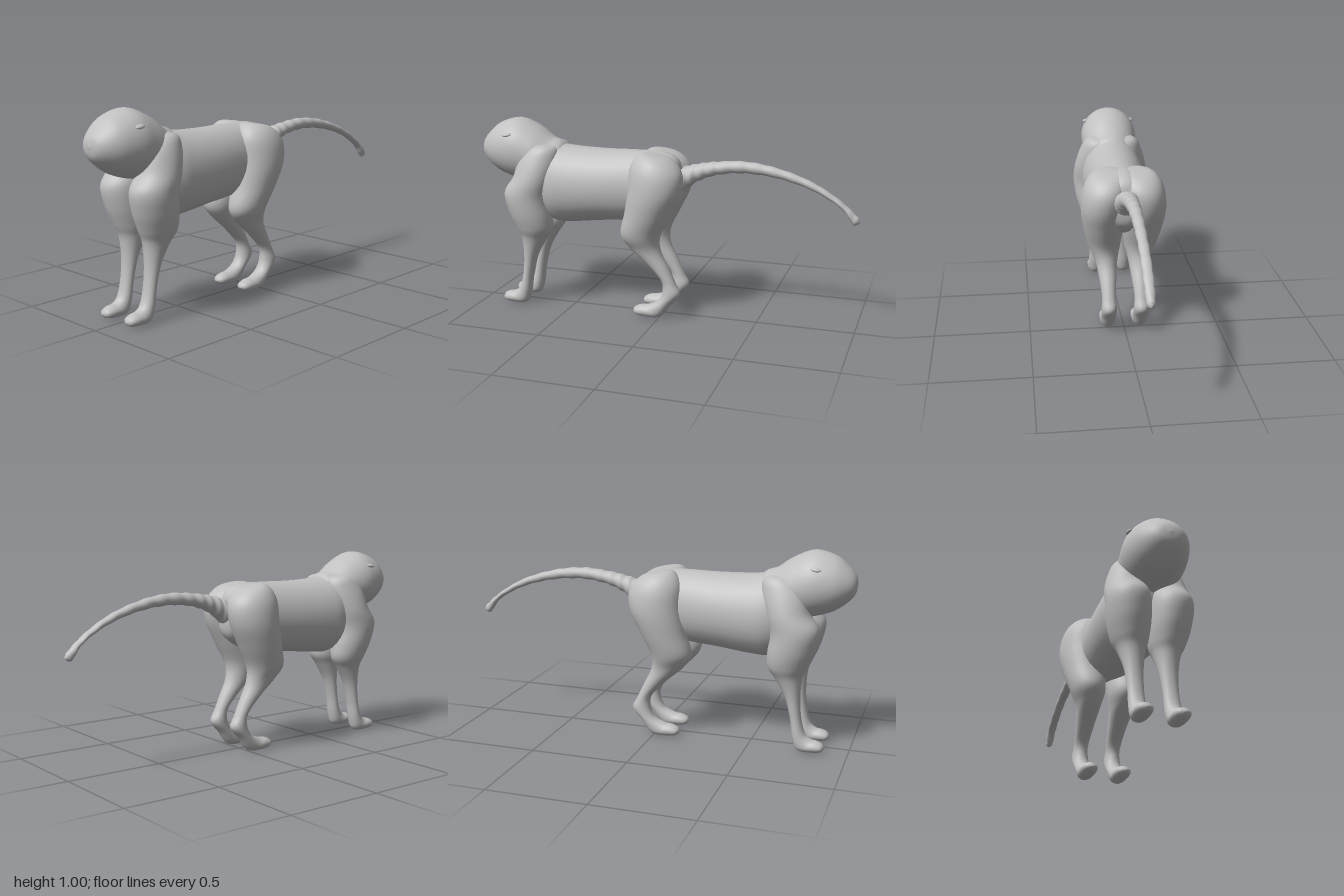
import * as THREE from 'three';
import { mergeVertices } from 'three/addons/utils/BufferGeometryUtils.js';

// Smooth skin through elliptical sections [x, halfWidth, yA, zA, yB, zB],
// where A and B are opposite edge points of the section in the side plane.
function loft(sections, { side = 1, steps = 6, around = 28, ripple = null } = {}) {
  const a = new THREE.CatmullRomCurve3(
    sections.map(s => new THREE.Vector3(s[0] * side, s[2], s[3])), false, 'catmullrom', 0.5);
  const b = new THREE.CatmullRomCurve3(
    sections.map(s => new THREE.Vector3(s[1], s[4], s[5])), false, 'catmullrom', 0.5);
  const rings = (sections.length - 1) * steps;
  const pos = [], index = [];
  for (let i = 0; i <= rings; i++) {
    const t = i / rings;
    const p = a.getPoint(t), q = b.getPoint(t);
    const k = ripple ? ripple(t) : 1;
    const cy = (p.y + q.y) / 2, cz = (p.z + q.z) / 2;
    const dy = (q.y - p.y) / 2 * k, dz = (q.z - p.z) / 2 * k;
    const rx = Math.max(q.x, 0) * k;
    for (let j = 0; j < around; j++) {
      const u = j / around * Math.PI * 2, c = Math.cos(u), s = Math.sin(u);
      pos.push(p.x + rx * c, cy + dy * s, cz + dz * s);
      if (i < rings) {
        const j2 = (j + 1) % around, r0 = i * around, r1 = r0 + around;
        index.push(r0 + j, r0 + j2, r1 + j2, r0 + j, r1 + j2, r1 + j);
      }
    }
  }
  let geo = new THREE.BufferGeometry();
  geo.setAttribute('position', new THREE.Float32BufferAttribute(pos, 3));
  geo.setIndex(index);
  geo = mergeVertices(geo, 1e-5);
  geo.computeVertexNormals();
  return geo;
}

// Torso, rear to chest
const TORSO = [
  [0, 0, 0.7, -0.1, 0.7, -0.1],
  [0, 0.09, 0.6, -0.08, 0.82, -0.08],
  [0, 0.13, 0.53, 0.02, 0.865, 0.0],
  [0, 0.145, 0.5, 0.17, 0.868, 0.15],
  [0, 0.16, 0.485, 0.33, 0.865, 0.32],
  [0, 0.17, 0.465, 0.5, 0.87, 0.48],
  [0, 0.165, 0.47, 0.6, 0.88, 0.58],
  [0, 0.12, 0.55, 0.72, 0.88, 0.66],
  [0, 0, 0.7, 0.76, 0.7, 0.76],
];

// Neck and egg-shaped head
const HEAD = [
  [0, 0, 0.74, 0.48, 0.74, 0.48],
  [0, 0.11, 0.62, 0.54, 0.875, 0.54],
  [0, 0.135, 0.63, 0.65, 0.91, 0.61],
  [0, 0.148, 0.665, 0.73, 0.965, 0.69],
  [0, 0.155, 0.682, 0.81, 1.003, 0.79],
  [0, 0.135, 0.71, 0.89, 0.98, 0.89],
  [0, 0.1, 0.752, 0.95, 0.935, 0.95],
  [0, 0.055, 0.795, 0.988, 0.89, 0.988],
  [0, 0, 0.845, 1.0, 0.845, 1.0],
];

// Shoulder, arm and front paw
const FRONT_LEG = [
  [0.06, 0, 0.885, 0.62, 0.885, 0.62],
  [0.07, 0.065, 0.865, 0.56, 0.875, 0.69],
  [0.085, 0.088, 0.8, 0.55, 0.81, 0.76],
  [0.1, 0.102, 0.7, 0.575, 0.71, 0.79],
  [0.104, 0.105, 0.6, 0.6, 0.63, 0.84],
  [0.098, 0.1, 0.5, 0.59, 0.53, 0.825],
  [0.09, 0.085, 0.43, 0.592, 0.44, 0.79],
  [0.085, 0.063, 0.37, 0.63, 0.38, 0.765],
  [0.083, 0.045, 0.28, 0.68, 0.28, 0.757],
  [0.083, 0.038, 0.17, 0.71, 0.18, 0.765],
  [0.084, 0.04, 0.07, 0.725, 0.1, 0.785],
  [0.085, 0.041, 0.01, 0.75, 0.07, 0.815],
  [0.086, 0.041, 0.003, 0.82, 0.062, 0.85],
  [0.086, 0.03, 0.01, 0.87, 0.05, 0.875],
  [0.086, 0, 0.03, 0.887, 0.03, 0.887],
];

// Hip, thigh, hock and hind paw
const HIND_LEG = [
  [0.06, 0, 0.868, 0.03, 0.868, 0.03],
  [0.075, 0.08, 0.84, -0.065, 0.865, 0.1],
  [0.092, 0.113, 0.77, -0.122, 0.8, 0.145],
  [0.105, 0.115, 0.67, -0.115, 0.68, 0.155],
  [0.102, 0.104, 0.55, -0.06, 0.56, 0.175],
  [0.095, 0.085, 0.44, -0.008, 0.45, 0.2],
  [0.087, 0.06, 0.36, -0.012, 0.38, 0.16],
  [0.085, 0.045, 0.27, -0.055, 0.3, 0.07],
  [0.085, 0.036, 0.195, -0.09, 0.215, -0.01],
  [0.085, 0.04, 0.14, -0.113, 0.15, -0.02],
  [0.085, 0.04, 0.08, -0.065, 0.095, 0.005],
  [0.085, 0.04, 0.01, -0.01, 0.07, 0.06],
  [0.085, 0.04, 0.003, 0.07, 0.064, 0.1],
  [0.085, 0.03, 0.01, 0.12, 0.05, 0.13],
  [0.085, 0, 0.03, 0.142, 0.03, 0.142],
];

// Tail, base to tip
const TAIL = [
  [0, 0, 0.73, -0.05, 0.73, -0.05],
  [0, 0.058, 0.79, -0.1, 0.67, -0.1],
  [0, 0.048, 0.815, -0.18, 0.725, -0.18],
  [0, 0.039, 0.832, -0.28, 0.765, -0.28],
  [0, 0.032, 0.842, -0.42, 0.783, -0.42],
  [0, 0.027, 0.82, -0.58, 0.768, -0.59],
  [0, 0.024, 0.765, -0.75, 0.718, -0.765],
  [0, 0.023, 0.685, -0.89, 0.64, -0.905],
  [0, 0.02, 0.605, -0.985, 0.565, -0.965],
  [0, 0, 0.573, -0.999, 0.573, -0.999],
];

export function createModel() {
  const model = new THREE.Group();
  model.name = 'animal';
  const fur = new THREE.MeshStandardMaterial({ color: 0xc0c0c0 });
  fur.name = 'grey fur';

  const add = (name, geometry) => {
    const mesh = new THREE.Mesh(geometry, fur);
    mesh.name = name;
    model.add(mesh);
    return mesh;
  };

  add('torso', loft(TORSO));
  add('head', loft(HEAD, { around: 40, steps: 7 }));

  // Gently knobbed tail
  const ripple = t => 1 + 0.05 * Math.sin(t * Math.PI * 2 * 17);
  add('tail', loft(TAIL, { steps: 16, around: 18, ripple }));

  for (const [side, label] of [[1, 'left'], [-1, 'right']]) {
    add(label + 'FrontLeg', loft(FRONT_LEG, { side }));
    add(label + 'HindLeg', loft(HIND_LEG, { side }));

    // Small flat ears
    const ear = add(label + 'Ear', new THREE.SphereGeometry(1, 16, 12));
    ear.scale.set(0.014, 0.009, 0.026);
    ear.position.set(side * 0.131, 0.93, 0.815);
    ear.rotation.set(0.12, 0, side * -0.4);
  }
  return model;
}
